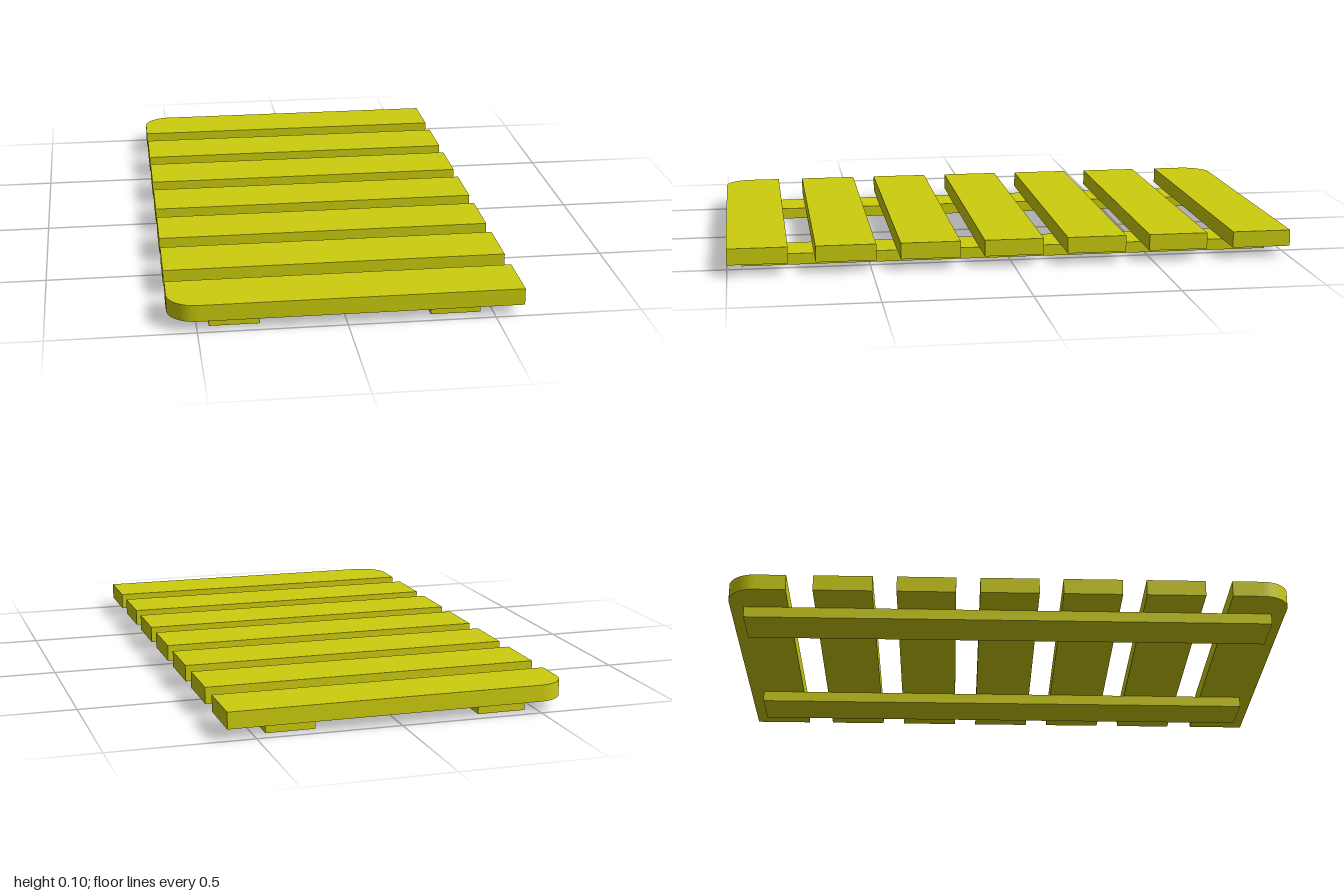
import * as THREE from 'three';
import { toCreasedNormals } from 'three/addons/utils/BufferGeometryUtils.js';

const HALF_X = 0.597, SLAT_DEPTH = 0.21, SLAT_BASE = 0.04, SLAT_HEIGHT = 0.058;

// End slat: plank whose outer corner on the -x side is rounded (outer edge at -z)
function endSlatGeometry() {
  const h = SLAT_DEPTH / 2, r = 0.1;
  const s = new THREE.Shape();
  s.moveTo(-HALF_X, -h);
  s.lineTo(HALF_X, -h);
  s.lineTo(HALF_X, h);
  s.lineTo(-HALF_X + r, h);
  s.absarc(-HALF_X + r, h - r, r, Math.PI / 2, Math.PI, false);
  s.closePath();
  const g = new THREE.ExtrudeGeometry(s, { depth: SLAT_HEIGHT, bevelEnabled: false, curveSegments: 12 });
  g.rotateX(-Math.PI / 2);
  g.translate(0, -SLAT_HEIGHT / 2, 0);
  return toCreasedNormals(g, 0.5);
}

export function createModel() {
  const model = new THREE.Group();
  model.name = 'slattedPallet';
  const paint = new THREE.MeshStandardMaterial({ color: 0xcdcd0e });
  paint.name = 'yellowPaint';

  const add = (name, geometry, x, y, z) => {
    const mesh = new THREE.Mesh(geometry, paint);
    mesh.name = name;
    mesh.position.set(x, y, z);
    model.add(mesh);
    return mesh;
  };

  // Two long runners underneath
  const rail = new THREE.BoxGeometry(0.17, SLAT_BASE, 1.9);
  add('leftRunner', rail, 0.372, SLAT_BASE / 2, 0);
  add('rightRunner', rail, -0.374, SLAT_BASE / 2, 0);

  // Five plain slats across the middle
  const slatY = SLAT_BASE + SLAT_HEIGHT / 2;
  const slat = new THREE.BoxGeometry(HALF_X * 2, SLAT_HEIGHT, SLAT_DEPTH);
  for (let i = -2; i <= 2; i++) add('slat' + (i + 3), slat, 0, slatY, i * 0.295);

  // Rounded end slats; the front one is turned over to mirror the back one
  const endSlat = endSlatGeometry();
  const endZ = 1 - SLAT_DEPTH / 2;
  add('backEndSlat', endSlat, 0, slatY, -endZ);
  add('frontEndSlat', endSlat, 0, slatY, endZ).rotation.x = Math.PI;

  return model;
}
